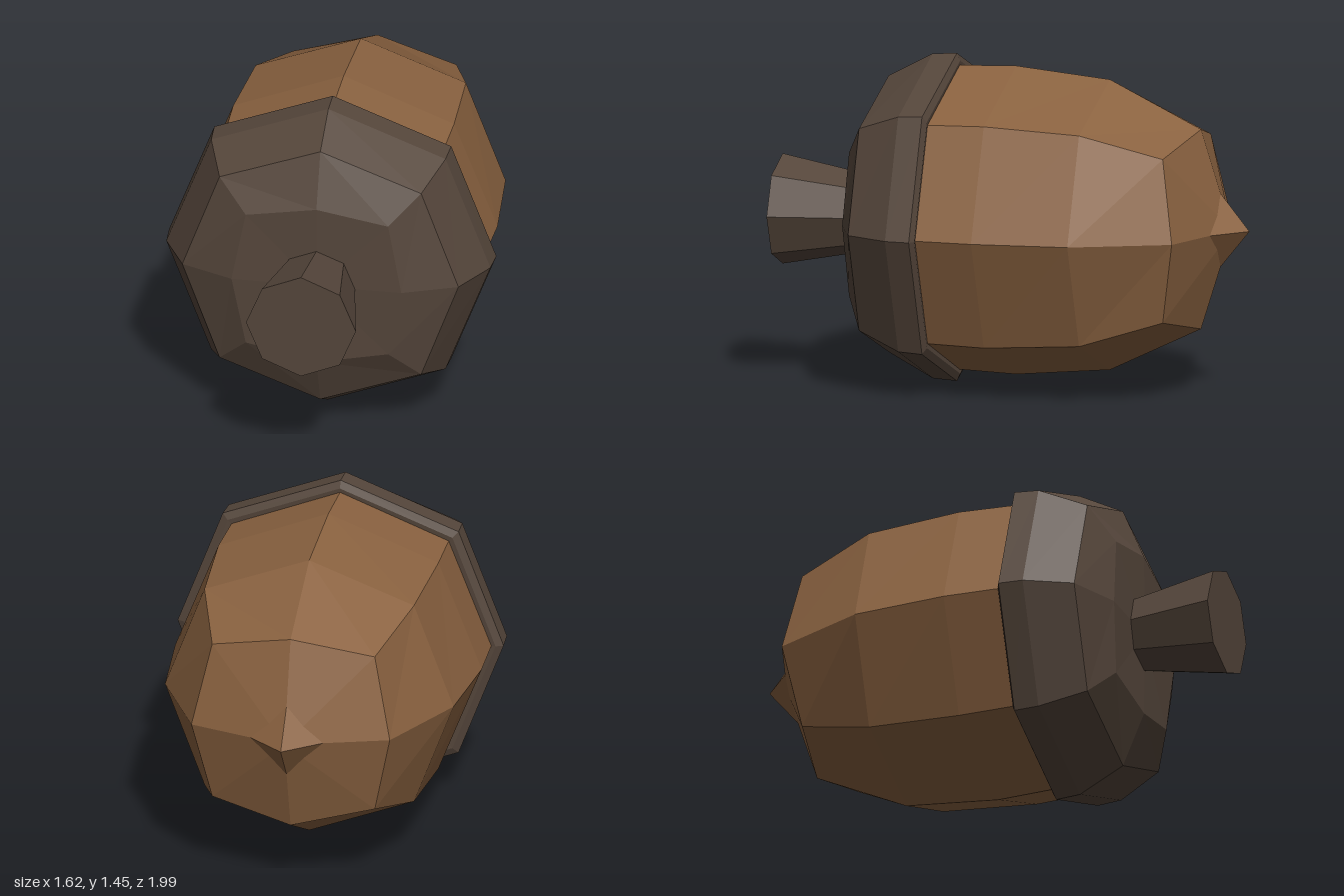
import * as THREE from 'three';

const SIDES = 8;

// Skin over eight-sided rings along z. Ring: [z, radius, corner radius, corner z];
// the corners are the four diagonal points of each ring.
function loft(rings) {
  const pos = [], index = [];
  for (const [z, r, rc = r, zc = z] of rings) {
    for (let j = 0; j < SIDES; j++) {
      const t = (j / SIDES) * Math.PI * 2, corner = j % 2 === 1;
      const rad = corner ? rc : r;
      pos.push(Math.cos(t) * rad, Math.sin(t) * rad, corner ? zc : z);
    }
  }
  for (let i = 0; i < rings.length - 1; i++) {
    for (let j = 0; j < SIDES; j++) {
      const k = (j + 1) % SIDES;
      const a = i * SIDES + j, b = i * SIDES + k, c = b + SIDES, d = a + SIDES;
      if (rings[i][1] > 0) index.push(a, b, d);
      if (rings[i + 1][1] > 0) index.push(b, c, d);
    }
  }
  const geo = new THREE.BufferGeometry();
  geo.setAttribute('position', new THREE.Float32BufferAttribute(pos, 3));
  geo.setIndex(index);
  geo.computeVertexNormals();
  return geo;
}

export function createModel() {
  const acorn = new THREE.Group();
  acorn.name = 'acorn';

  const nutMat = new THREE.MeshStandardMaterial({ color: 0x8a6240, flatShading: true });
  const capMat = new THREE.MeshStandardMaterial({ color: 0x55463b, flatShading: true });
  const add = (name, geo, mat) => {
    const mesh = new THREE.Mesh(geo, mat);
    mesh.name = name;
    acorn.add(mesh);
    return mesh;
  };

  // Nut body, from its rounded end to the mouth of the cap
  add('nut', loft([
    [-1.03, 0],
    [-0.89, 0.44, 0.51, -0.825],
    [-0.476, 0.64, 0.657],
    [-0.05, 0.68, 0.69],
    [0.24, 0.67, 0.68],
    [0.24, 0],
  ]), nutMat);

  // Four-sided point on the end of the nut
  const point = add('tip', new THREE.ConeGeometry(0.16, 0.13, 4), nutMat);
  point.rotation.x = -Math.PI / 2;
  point.position.z = -1.045;

  // Cap with a bevelled rim and flat crown
  add('cap', loft([
    [0.215, 0.6],
    [0.205, 0.69, 0.705],
    [0.22, 0.723, 0.74],
    [0.33, 0.716, 0.732],
    [0.53, 0.61, 0.63],
    [0.628, 0.375, 0.445, 0.615],
    [0.63, 0],
  ]), capMat);

  // Flared stem
  add('stem', loft([
    [0.6, 0],
    [0.6, 0.165],
    [1.012, 0.243],
    [1.012, 0],
  ]), capMat);

  // Lying on its side, turned a little
  acorn.rotation.y = Math.PI / 6;
  acorn.position.set(0.013, 0.725, -0.008);

  const model = new THREE.Group();
  model.add(acorn);
  return model;
}
